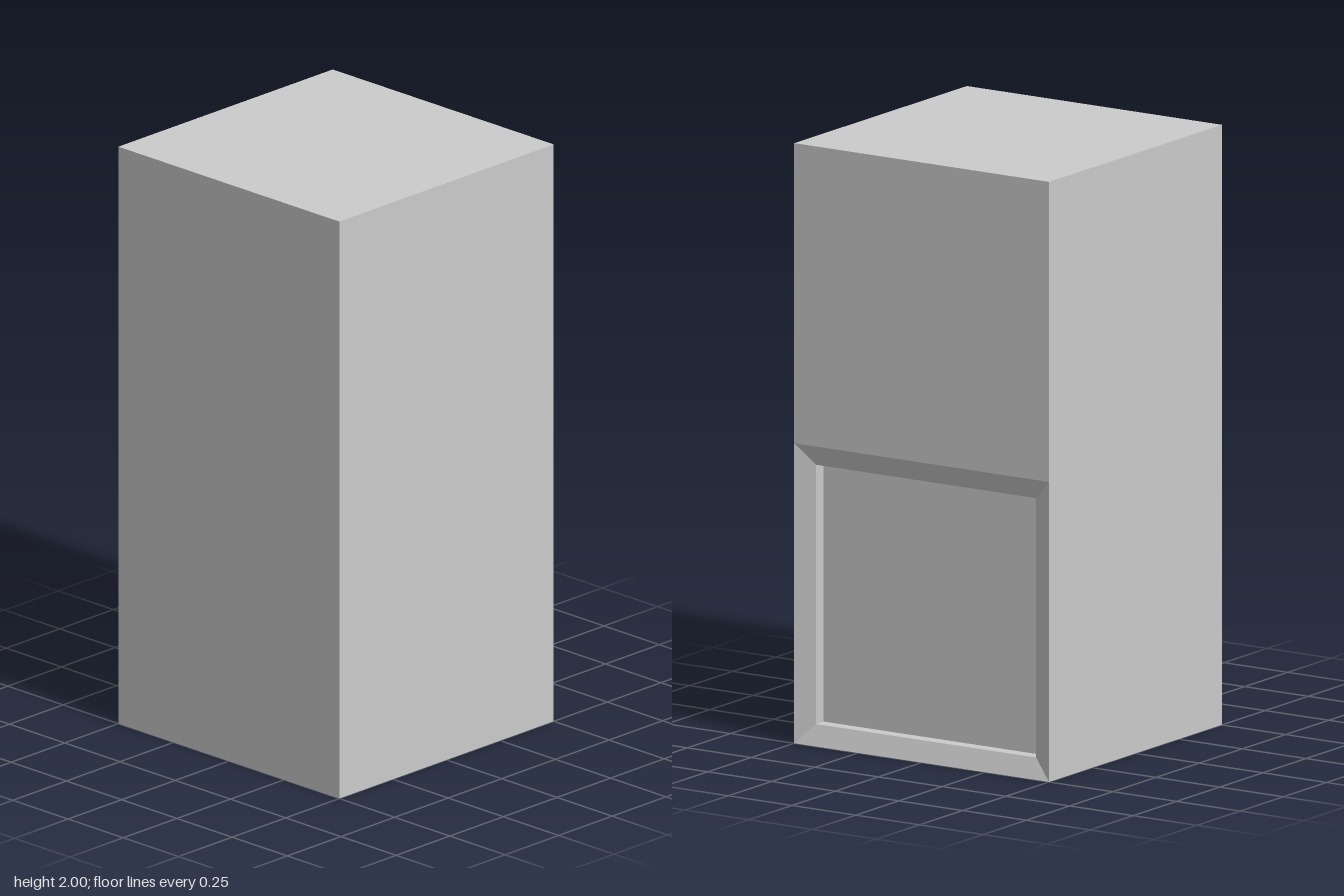
import * as THREE from 'three';

// Rectangle across the x axis, counter-clockwise as seen from +x
const rect = (x, y0, y1, hz) => [[y0, hz], [y0, -hz], [y1, -hz], [y1, hz]]
  .map(([y, z]) => new THREE.Vector3(x, y, z));

// Joins successive rectangles with flat faces, skipping empty triangles
function loft(loops) {
  const points = [];
  const addTriangle = (a, b, c) => {
    if (new THREE.Triangle(a, b, c).getArea() > 1e-8) points.push(a, b, c);
  };
  for (let k = 0; k < loops.length - 1; k++) {
    const a = loops[k], b = loops[k + 1];
    for (let i = 0; i < 4; i++) {
      const j = (i + 1) % 4;
      addTriangle(a[i], a[j], b[j]);
      addTriangle(a[i], b[j], b[i]);
    }
  }
  const geometry = new THREE.BufferGeometry().setFromPoints(points);
  geometry.computeVertexNormals();
  return geometry;
}

export function createModel() {
  const group = new THREE.Group();
  group.name = 'pillarBlock';
  const material = new THREE.MeshStandardMaterial({ color: 0xcccccc, flatShading: true });

  const inset = 0.068;      // width of the bevelled frame
  const bevelX = 0.474;     // inner edge of the bevel
  const panelX = 0.431;     // face of the sunken panel
  const lo = inset, hi = 1 - inset, hz = 0.5 - inset;

  // Tall block with a bevelled opening in the lower half of its +x side
  const body = new THREE.Mesh(loft([
    rect(-0.5, 1, 1, 0),
    rect(-0.5, 0, 2, 0.5),
    rect(0.5, 0, 2, 0.5),
    rect(0.5, 0, 1, 0.5),
    rect(bevelX, lo, hi, hz),
    rect(panelX, lo, hi, hz),
  ]), material);
  body.name = 'body';

  // Flat panel closing the back of the opening
  const panel = new THREE.Mesh(loft([
    rect(panelX, lo, hi, hz),
    rect(panelX, 0.5, 0.5, 0),
  ]), material);
  panel.name = 'recessedPanel';

  group.add(body, panel);
  return group;
}
